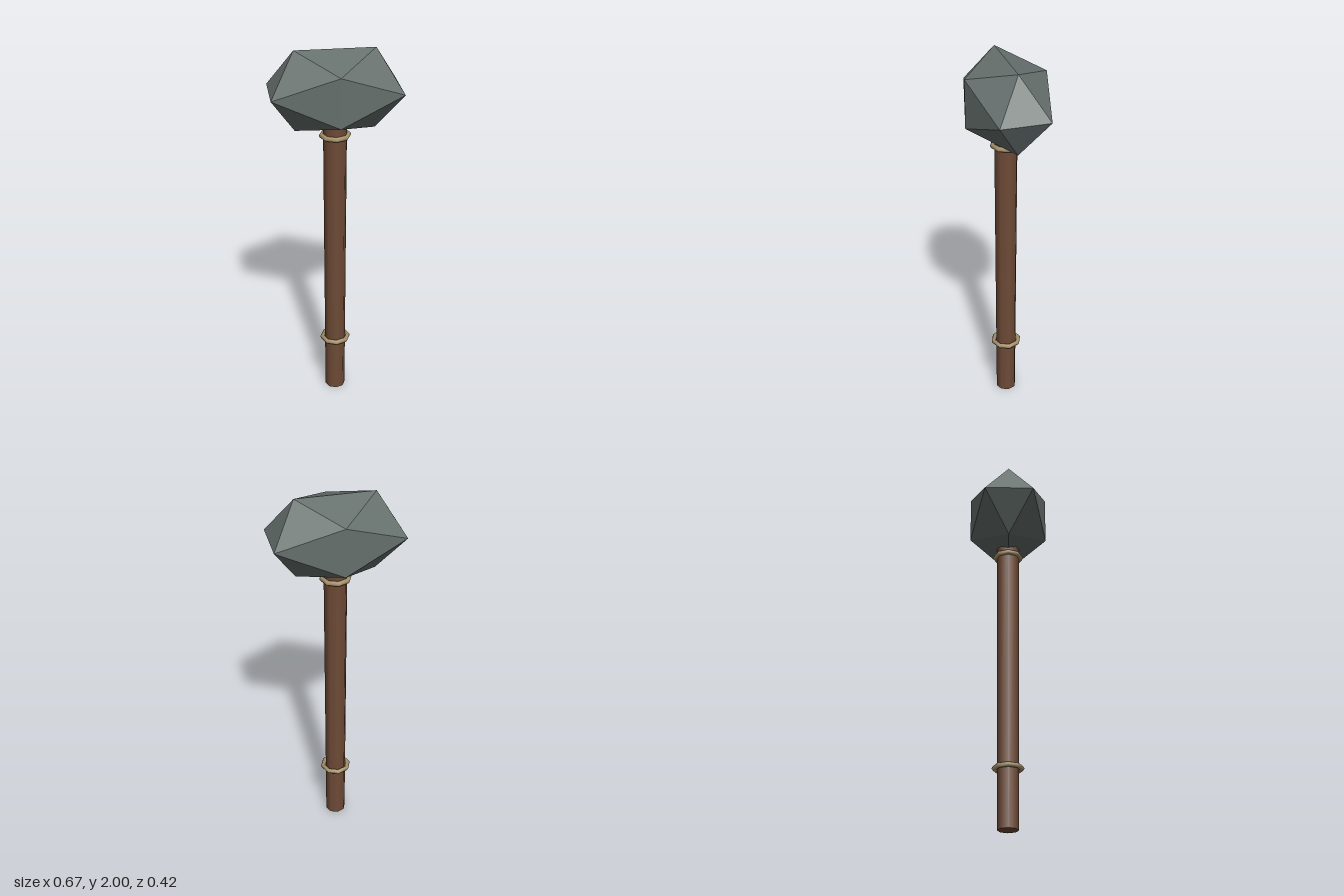
import * as THREE from 'three';

export function createModel() {
  const group = new THREE.Group();
  const material = (name, color, flatShading = false) => {
    const m = new THREE.MeshStandardMaterial({ color, flatShading });
    m.name = name;
    return m;
  };
  const stone = material('grey stone', 0x66706d, true);
  const wood = material('brown wood', 0x6f4b37);
  const cord = material('tan cord', 0xa8946c);

  const add = (name, geometry, mat, y) => {
    const mesh = new THREE.Mesh(geometry, mat);
    mesh.name = name;
    mesh.position.y = y;
    group.add(mesh);
  };

  // Tapered shaft, running up into the head
  const length = 1.7;
  add('handle', new THREE.CylinderGeometry(0.062, 0.055, length, 8), wood, length / 2);

  // Faceted stone head, stretched sideways
  add('head', new THREE.IcosahedronGeometry(0.248, 0).scale(1.58, 1, 1), stone, 1.789);

  // Cord bindings around the shaft
  const ring = new THREE.TorusGeometry(0.071, 0.013, 6, 8).rotateX(Math.PI / 2);
  add('upperBinding', ring, cord, 1.545);
  add('lowerBinding', ring, cord, 0.32);

  return group;
}
